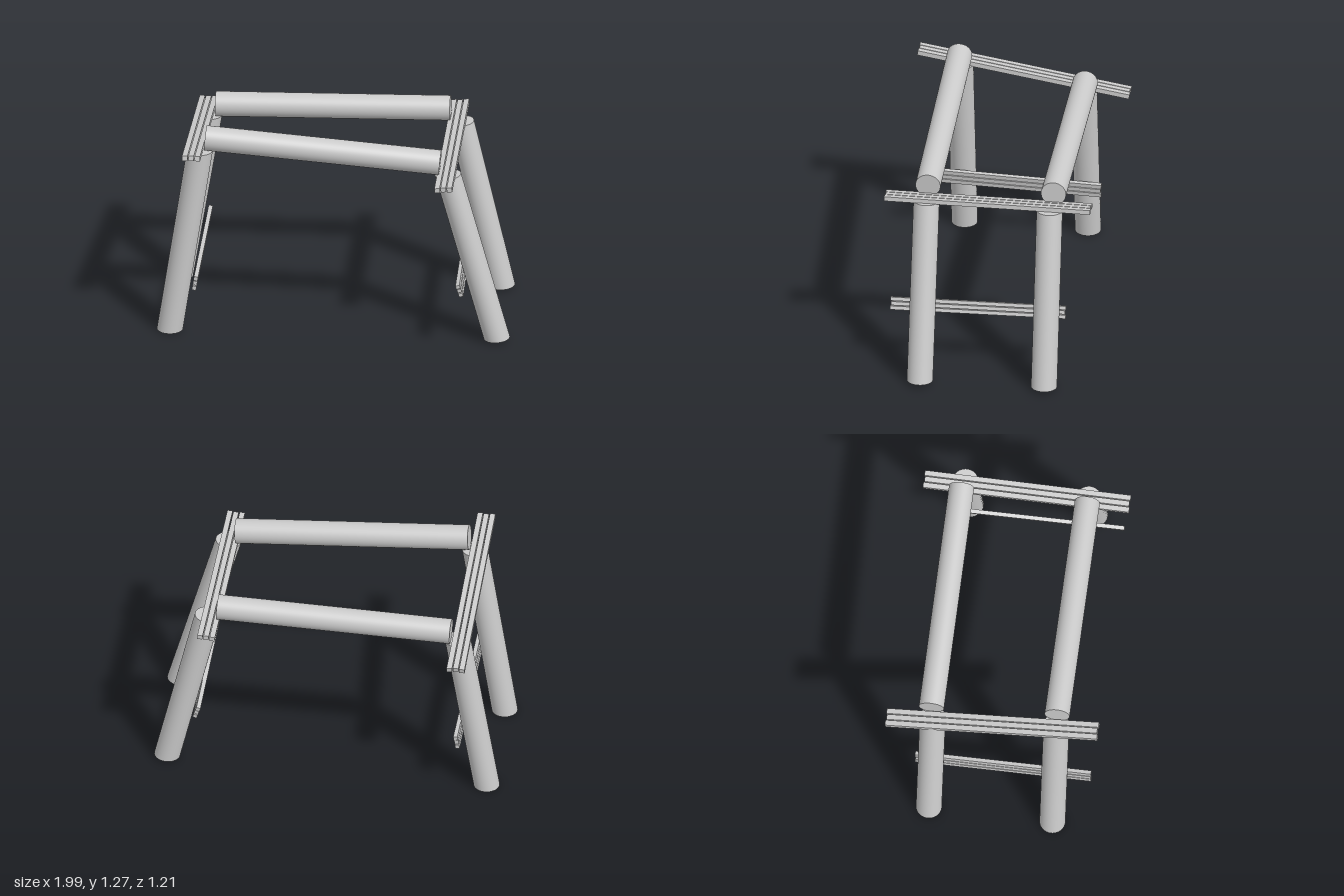
import * as THREE from 'three';

const mat = new THREE.MeshStandardMaterial({ color: 0xcccccc });

// Leaning leg: a cylinder sheared between two centres, so its cuts stay near level
function leg(name, bottom, top, cutSlope) {
  const height = top[1] - bottom[1];
  const geo = new THREE.CylinderGeometry(0.0735, 0.0735, height, 40);
  geo.translate(0, height / 2, 0);
  const p = geo.attributes.position;
  for (let i = 0; i < p.count; i++) {
    const t = p.getY(i) / height;
    const x = p.getX(i);
    p.setXYZ(i,
      x + THREE.MathUtils.lerp(bottom[0], top[0], t),
      THREE.MathUtils.lerp(bottom[1], top[1], t) + x * cutSlope,
      p.getZ(i) + THREE.MathUtils.lerp(bottom[2], top[2], t));
  }
  geo.computeVertexNormals();
  // Smooth the seam: side normals follow the round section
  const n = geo.attributes.normal;
  const lean = (top[0] - bottom[0]) / height;
  const v = new THREE.Vector3();
  for (let i = 0; i < 41 * 2; i++) {
    const a = ((i % 41) / 40) * Math.PI * 2;
    v.set(Math.sin(a), -lean * Math.sin(a), Math.cos(a)).normalize();
    n.setXYZ(i, v.x, v.y, v.z);
  }
  const mesh = new THREE.Mesh(geo, mat);
  mesh.name = name;
  return mesh;
}

// Straight round rail with square-cut ends
function rail(name, from, to) {
  const a = new THREE.Vector3(...from), b = new THREE.Vector3(...to);
  const mesh = new THREE.Mesh(new THREE.CylinderGeometry(0.071, 0.071, a.distanceTo(b), 40), mat);
  mesh.position.copy(a).lerp(b, 0.5);
  mesh.quaternion.setFromUnitVectors(new THREE.Vector3(0, 1, 0), b.sub(a).normalize());
  mesh.name = name;
  return mesh;
}

// Three narrow slats side by side, running from the back point to the front point
function slats(name, back, front, width, thickness, roll) {
  const a = new THREE.Vector3(...back), b = new THREE.Vector3(...front);
  const group = new THREE.Group();
  const gap = 0.005, w = (width - 2 * gap) / 3;
  for (let i = -1; i <= 1; i++) {
    const slat = new THREE.Mesh(new THREE.BoxGeometry(w, thickness, a.distanceTo(b) - (i ? 0 : 0.008)), mat);
    slat.position.x = i * (w + gap);
    slat.name = 'slat';
    group.add(slat);
  }
  group.position.copy(a).lerp(b, 0.5);
  group.lookAt(b);
  group.rotateZ(THREE.MathUtils.degToRad(roll));
  group.name = name;
  return group;
}

export function createModel() {
  const model = new THREE.Group();
  model.name = 'logFrame';
  model.add(
    // Legs
    leg('frontRightLeg', [-0.926, 0, 0.36], [-0.757, 1.12, 0.36], 0),
    leg('backRightLeg', [-0.926, 0, -0.342], [-0.762, 1.01, -0.342], 0),
    leg('frontLeftLeg', [0.922, 0.017, 0.362], [0.646, 1.026, 0.362], 0.08),
    leg('backLeftLeg', [0.893, 0.012, -0.34], [0.661, 1.026, -0.34], 0.06),
    // Long top rails
    rail('frontRail', [-0.725, 1.197, 0.36], [0.602, 1.096, 0.36]),
    rail('backRail', [-0.725, 1.071, -0.354], [0.602, 1.097, -0.354]),
    // Cross slats on the leg tops
    slats('rightTopSlats', [-0.787, 0.986, -0.602], [-0.787, 1.18, 0.602], 0.102, 0.028, 0),
    slats('leftTopSlats', [0.639, 1.036, -0.573], [0.639, 1.036, 0.598], 0.1, 0.026, 5),
    // Low braces on the inner side of the legs
    slats('rightBrace', [-0.768, 0.351, -0.44], [-0.768, 0.381, 0.56], 0.084, 0.024, 81.5),
    slats('leftBrace', [0.712, 0.398, -0.44], [0.726, 0.39, 0.556], 0.072, 0.024, 108),
  );
  return model;
}
